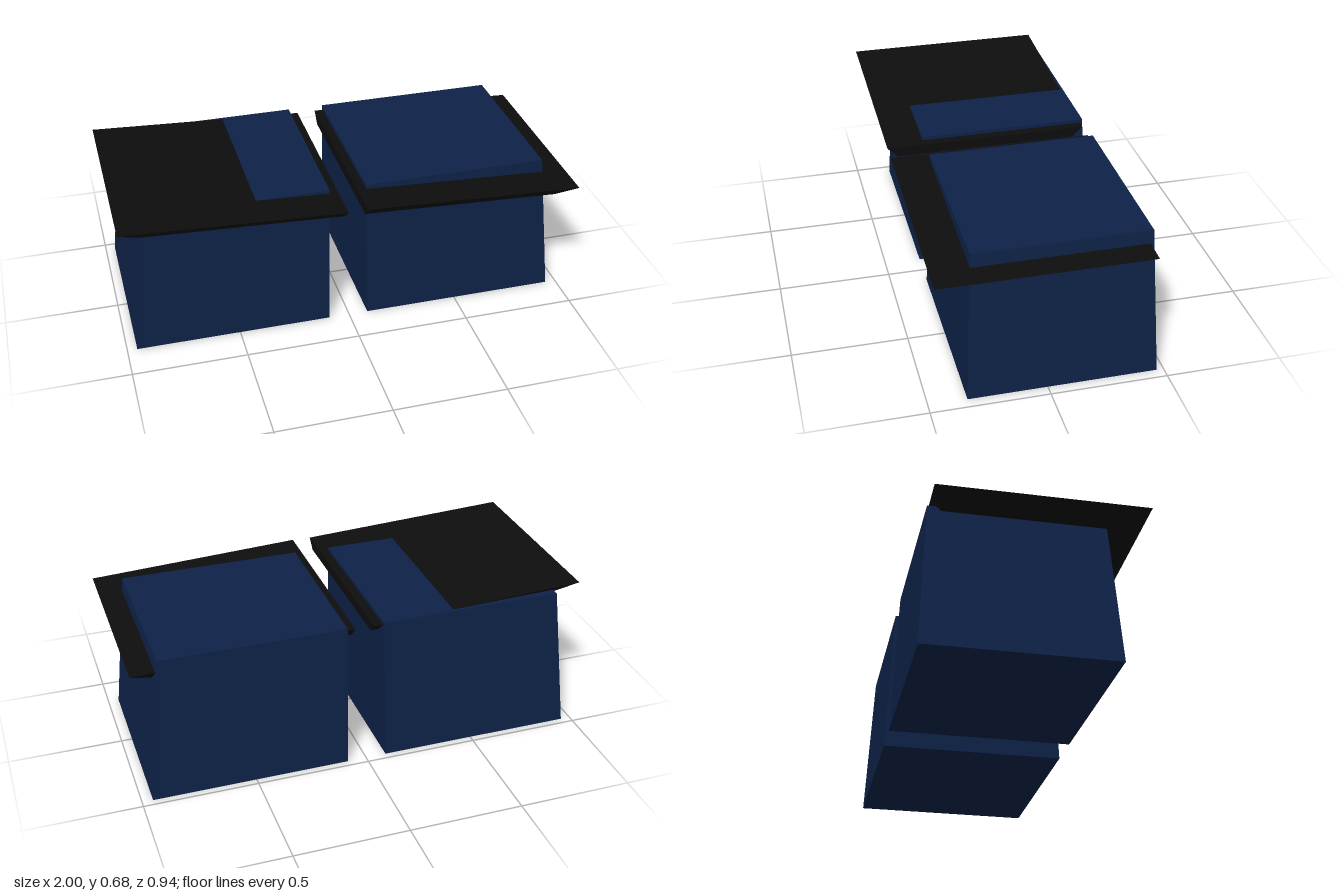
import * as THREE from 'three';

// Six-sided block between a lower and an upper outline.
// Outline: x range, z range, and the heights at the two x ends.
function taperedBlock(name, material, lower, upper) {
  const geometry = new THREE.BoxGeometry(1, 1, 1).toNonIndexed();
  const p = geometry.attributes.position;
  for (let i = 0; i < p.count; i++) {
    const o = p.getY(i) > 0 ? upper : lower;
    const ix = p.getX(i) > 0 ? 1 : 0;
    const iz = p.getZ(i) > 0 ? 1 : 0;
    p.setXYZ(i, o.x[ix], o.y[ix], o.z[iz]);
  }
  geometry.computeVertexNormals();
  const mesh = new THREE.Mesh(geometry, material);
  mesh.name = name;
  return mesh;
}

export function createModel() {
  const blue = new THREE.MeshStandardMaterial({ color: 0x0e2247 });
  blue.name = 'navy blue';
  const black = new THREE.MeshStandardMaterial({ color: 0x0d0d0d });
  black.name = 'black';

  const model = new THREE.Group();
  model.name = 'pairOfBins';

  // Bodies: narrower at the top, nearly upright on the inner side
  const bodies = [
    { name: 'rightBody', bottom: [-0.957, -0.091], top: [-0.887, -0.083] },
    { name: 'leftBody', bottom: [0.085, 0.953], top: [0.079, 0.886] },
  ];
  for (const b of bodies) {
    model.add(taperedBlock(b.name, blue,
      { x: b.bottom, y: [0, 0], z: [-0.47, 0.337] },
      { x: b.top, y: [0.654, 0.654], z: [-0.438, 0.306] }));
  }

  // Lids: tilted slabs, bevelled below on the front, back and outer edges
  const lids = [
    { name: 'rightLid', top: [-1, -0.044], topY: [0.684, 0.636], under: [-0.908, -0.044], underY: [0.634, 0.592] },
    { name: 'leftLid', top: [0.04, 0.997], topY: [0.637, 0.59], under: [0.04, 0.905], underY: [0.588, 0.546] },
  ];
  for (const l of lids) {
    model.add(taperedBlock(l.name, black,
      { x: l.under, y: l.underY, z: [-0.38, 0.425] },
      { x: l.top, y: l.topY, z: [-0.426, 0.47] }));
  }
  return model;
}
